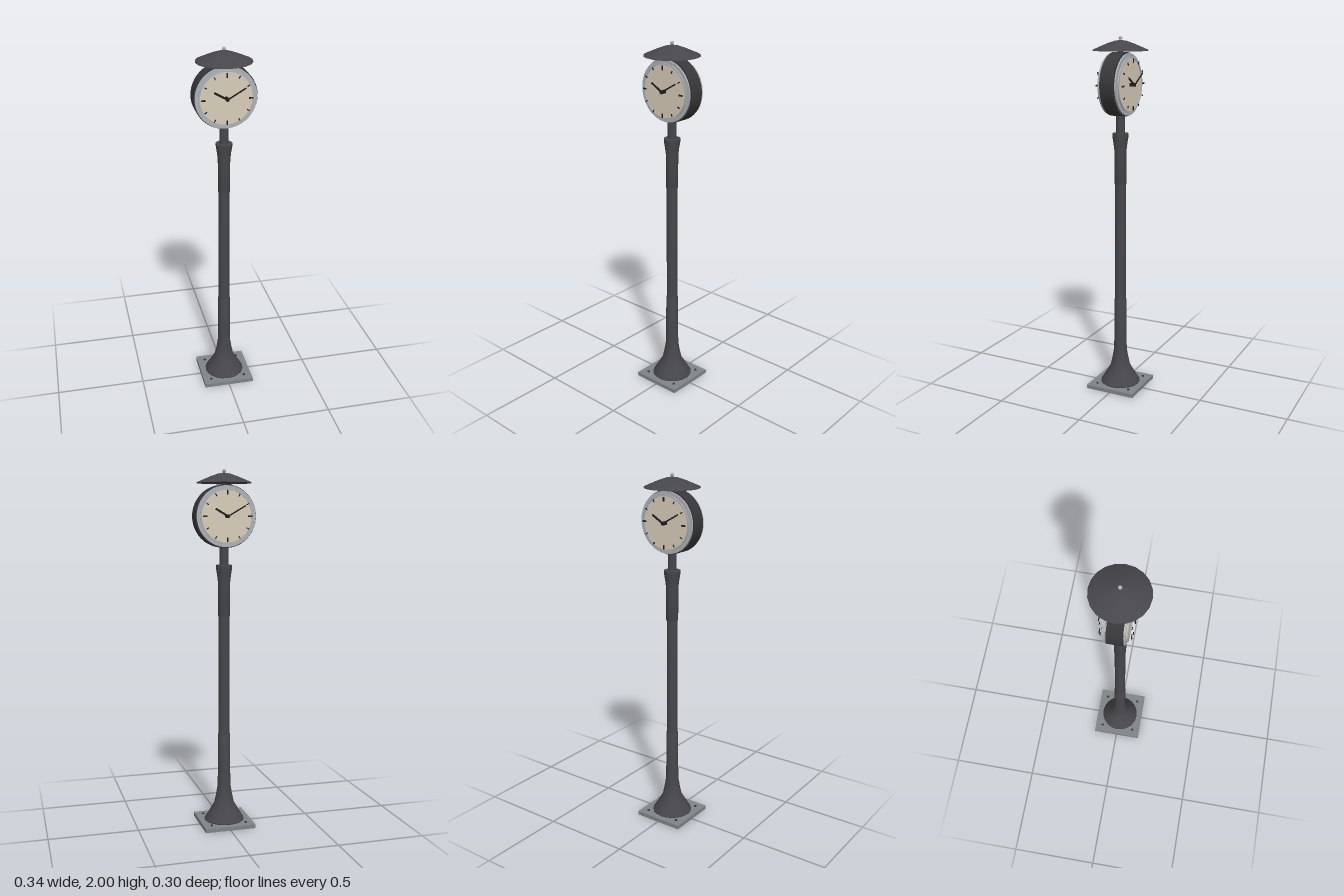
import * as THREE from 'three';

const mat = (color) => new THREE.MeshStandardMaterial({ color });
const iron = mat(0x47474b), darkIron = mat(0x38383a), stone = mat(0x7f8487);
const steel = mat(0xaeb3b8), cream = mat(0xd8ccba), black = mat(0x1e1e20);

const CLOCK_Y = 1.746;

function add(parent, name, geometry, material, x = 0, y = 0, z = 0) {
  const mesh = new THREE.Mesh(geometry, material);
  mesh.name = name;
  mesh.position.set(x, y, z);
  parent.add(mesh);
  return mesh;
}

const lathe = (points, sides) =>
  new THREE.LatheGeometry(points.map(([r, y]) => new THREE.Vector2(r, y)), sides);

// Cylinder whose axis runs along z
const disc = (radius, depth, sides = 40) =>
  new THREE.CylinderGeometry(radius, radius, depth, sides).rotateX(Math.PI / 2);

// Flat ring facing z, centred on its own thickness
function ring(outer, inner, depth) {
  const shape = new THREE.Shape().absarc(0, 0, outer, 0, Math.PI * 2);
  shape.holes.push(new THREE.Path().absarc(0, 0, inner, 0, Math.PI * 2, true));
  return new THREE.ExtrudeGeometry(shape, { depth, bevelEnabled: false, curveSegments: 40 })
    .translate(0, 0, -depth / 2);
}

// Bar starting at radius `from`, pointing `angle` clockwise from twelve
function radialBar(parent, name, angle, from, to, width, z) {
  const geometry = new THREE.BoxGeometry(width, to - from, 0.004)
    .translate(0, (from + to) / 2, 0).rotateZ(-angle);
  add(parent, name, geometry, black, 0, 0, z);
}

// One complete dial, facing +z
function createDial() {
  const dial = new THREE.Group();
  add(dial, 'bezel', ring(0.165, 0.141, 0.008), steel, 0, 0, 0.049);
  add(dial, 'innerBezel', ring(0.147, 0.140, 0.006), steel, 0, 0, 0.059);
  add(dial, 'face', disc(0.142, 0.02), cream, 0, 0, 0.048);
  for (let i = 0; i < 12; i++) {
    const major = i % 3 === 0;
    radialBar(dial, 'hourMark', i * Math.PI / 6, major ? 0.114 : 0.122, 0.137,
      major ? 0.008 : 0.005, 0.077);
  }
  radialBar(dial, 'hourHand', -Math.PI / 3, -0.008, 0.08, 0.010, 0.083);
  radialBar(dial, 'minuteHand', Math.PI / 3, -0.01, 0.112, 0.007, 0.086);
  add(dial, 'handPivot', disc(0.01, 0.034, 16), black, 0, 0, 0.072);
  return dial;
}

export function createModel() {
  const model = new THREE.Group();
  model.name = 'streetClock';

  // Base plate and bolts
  add(model, 'basePlate', new THREE.BoxGeometry(0.29, 0.022, 0.29), stone, 0, 0.011, 0);
  for (const x of [-0.1, 0.1]) for (const z of [-0.1, 0.1])
    add(model, 'bolt', new THREE.CylinderGeometry(0.008, 0.008, 0.006, 6), darkIron, x, 0.024, z);

  // Flared foot, shaft and capital
  add(model, 'foot', lathe([[0, 0.022], [0.113, 0.022], [0.113, 0.027], [0.085, 0.072], [0.057, 0.12],
    [0.046, 0.17], [0.038, 0.22], [0.035, 0.31], [0.034, 0.525], [0, 0.525]], 20), iron);
  add(model, 'shaft', new THREE.CylinderGeometry(0.03, 0.031, 0.7, 20), iron, 0, 0.86, 0);
  add(model, 'capital', lathe([[0, 1.2], [0.033, 1.2], [0.034, 1.39], [0.039, 1.43],
    [0.045, 1.467], [0.045, 1.482], [0.045, 1.482], [0, 1.482]], 20), iron);
  add(model, 'neck', new THREE.CylinderGeometry(0.024, 0.024, 0.1, 20), iron, 0, 1.53, 0);

  // Clock case with a dial on both sides
  const clock = new THREE.Group();
  clock.name = 'clock';
  clock.position.y = CLOCK_Y;
  add(clock, 'case', disc(0.17, 0.08, 48), darkIron);
  for (const [name, turn] of [['frontDial', 0], ['backDial', Math.PI]]) {
    const dial = createDial();
    dial.name = name;
    dial.rotation.y = turn;
    clock.add(dial);
  }
  model.add(clock);

  // Conical roof with finial
  add(model, 'roofSupport', new THREE.CylinderGeometry(0.015, 0.015, 0.03, 12), darkIron, 0, 1.92, 0);
  add(model, 'roof', lathe([[0, 1.924], [0.15, 1.924], [0.15, 1.924], [0.15, 1.928], [0.115, 1.943],
    [0.075, 1.96], [0.035, 1.974], [0, 1.98]], 20), iron);
  add(model, 'finial', new THREE.SphereGeometry(0.01, 16, 12), steel, 0, 1.99, 0);

  return model;
}
